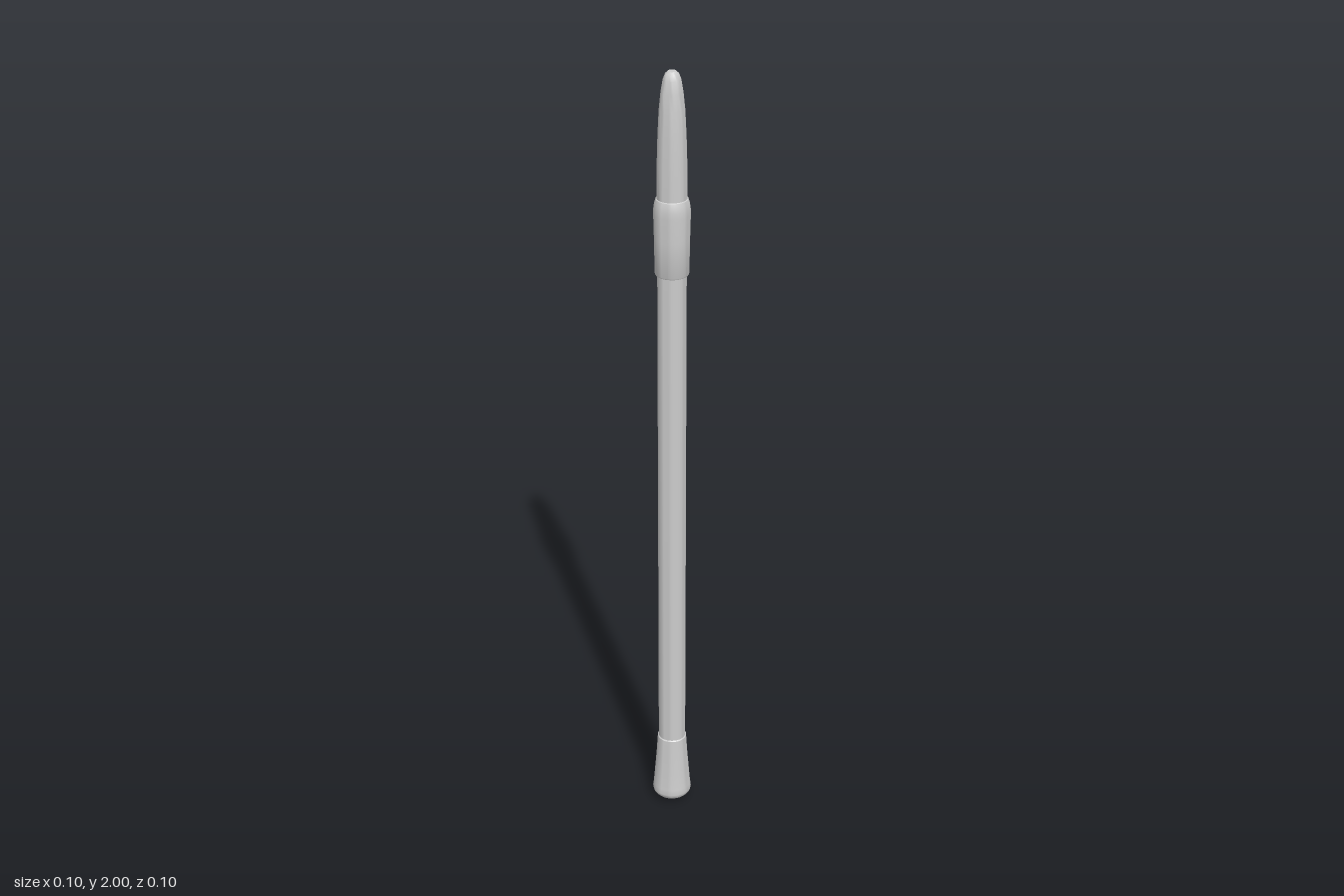
import * as THREE from 'three';
import { toCreasedNormals } from 'three/addons/utils/BufferGeometryUtils.js';

const material = new THREE.MeshStandardMaterial({ color: 0xcccccc });

// Turned part from [radius, height] pairs, listed bottom to top
function turned(name, profile) {
  const points = profile.map(([r, y]) => new THREE.Vector2(r, y));
  const geometry = toCreasedNormals(new THREE.LatheGeometry(points, 32), 0.6);
  const mesh = new THREE.Mesh(geometry, material);
  mesh.name = name;
  return mesh;
}

export function createModel() {
  const group = new THREE.Group();
  group.name = 'pole';

  // Flared foot with a shallow domed underside
  group.add(turned('foot', [
    [0, 0], [0.012, 0.003], [0.028, 0.011], [0.042, 0.021], [0.048, 0.028],
    [0.05, 0.036], [0.048, 0.05], [0.044, 0.1], [0.04, 0.15], [0.037, 0.2], [0.034, 0.203],
  ]));

  // Long straight shaft
  group.add(turned('shaft', [[0, 0.15], [0.0345, 0.15], [0.0345, 1.56], [0, 1.56]]));

  // Collar, slightly wider toward its rounded shoulder
  group.add(turned('collar', [
    [0.033, 1.51], [0.039, 1.51], [0.0405, 1.513], [0.042, 1.6], [0.0435, 1.66],
    [0.043, 1.675], [0.041, 1.688], [0.038, 1.697], [0.034, 1.7],
  ]));

  // Tapered tip with a blunt rounded end
  group.add(turned('tip', [
    [0, 1.6], [0.036, 1.6], [0.036, 1.7], [0.035, 1.78], [0.033, 1.85], [0.03, 1.91],
    [0.026, 1.95], [0.021, 1.98], [0.016, 1.993], [0.01, 1.999], [0, 2],
  ]));

  return group;
}
